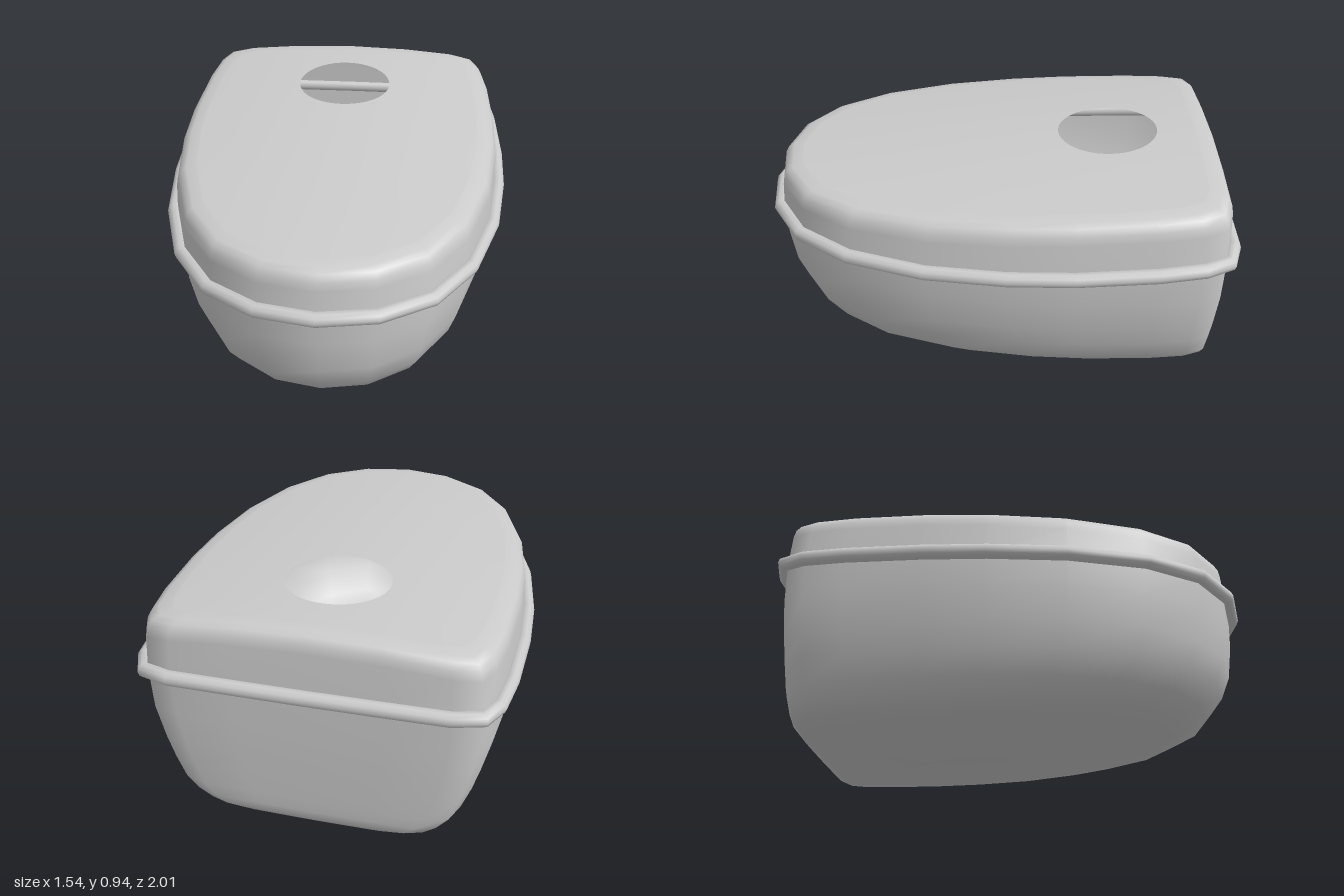
import * as THREE from 'three';

// Half of the plan outline [x, z], from the rounded nose to the flat back
const HALF = [[0, 0.965], [0.225, 0.925], [0.425, 0.8], [0.575, 0.58], [0.675, 0.265], [0.717, -0.06],
  [0.725, -0.33], [0.71, -0.65], [0.685, -0.83], [0.645, -0.92], [0.54, -0.95], [0.3, -0.953], [0, -0.955]];
const OUTLINE = [...HALF, ...HALF.slice(1, -1).reverse().map(([x, z]) => [-x, z])];

// Height of the seam and of the gently crowned, sloping top
const seamY = (z) => 0.63 + 0.028 * (z - 0.4) ** 2;
const topY = (x, z) => 0.897 - 0.06 * z - 0.017 * z * z - 0.1 * x * x;

// Outline pushed outwards along its normals
function offsetOutline(d) {
  const n = OUTLINE.length;
  return OUTLINE.map(([x, z], i) => {
    const [ax, az] = OUTLINE[(i + n - 1) % n], [bx, bz] = OUTLINE[(i + 1) % n];
    const tx = bx - ax, tz = bz - az, l = Math.hypot(tx, tz);
    return [x - (tz / l) * d, z + (tx / l) * d];
  });
}

// Smooth skin through closed rings of points
function loft(rings, closed = false) {
  const n = rings[0].length, m = rings.length, index = [];
  for (let i = 0; i < (closed ? m : m - 1); i++) {
    for (let j = 0; j < n; j++) {
      const k = (j + 1) % n, u = (i + 1) % m;
      const a = i * n + j, b = i * n + k, c = u * n + k, d = u * n + j;
      index.push(a, b, c, a, c, d);
    }
  }
  const geo = new THREE.BufferGeometry().setFromPoints(rings.flat());
  geo.setIndex(index);
  geo.computeVertexNormals();
  return geo;
}

export function createModel() {
  const group = new THREE.Group();
  const material = new THREE.MeshStandardMaterial({ color: 0xcccccc, side: THREE.DoubleSide });
  const add = (name, geo) => {
    const mesh = new THREE.Mesh(geo, material);
    mesh.name = name;
    group.add(mesh);
  };
  const V = (x, y, z) => new THREE.Vector3(x, y, z);

  // Tub: levels of [height, half width, front z, back z]
  const levels = [[0, 0.002, -0.4, -0.402], [0.008, 0.25, 0.1, -0.86], [0.02, 0.36, 0.25, -0.905],
    [0.05, 0.5, 0.5, -0.925], [0.09, 0.56, 0.7, -0.932], [0.15, 0.615, 0.82, -0.937],
    [0.25, 0.655, 0.9, -0.942], [0.35, 0.685, 0.94, -0.947], [0.5, 0.718, 0.96, -0.953],
    [null, 0.725, 0.965, -0.955]];
  add('tub', loft(levels.map(([y, w, front, back]) => OUTLINE.map(([x, z]) => {
    const pz = back + (front - back) * (z + 0.955) / 1.92;
    return V(x * w / 0.725, y ?? seamY(z), pz);
  }))));

  // Lid wall with rounded shoulder: [inset, drop below the top]
  const shoulder = [[0, null], [0.008, 0.075], [0.015, 0.04], [0.03, 0.014], [0.055, 0.003], [0.1, 0]];
  const lidRings = shoulder.map(([inset, drop]) => OUTLINE.map(([x, z]) => {
    const px = x * (1 - inset / 0.725), pz = z * (1 - inset / 0.96);
    return V(px, drop === null ? seamY(z) : topY(px, pz) - drop, pz);
  }));
  add('lidWall', loft(lidRings));

  // Lid top, running in to the round opening
  const edge = lidRings.at(-1), outer = [];
  edge.forEach((p, i) => {
    for (let s = 0; s < 4; s++) outer.push(p.clone().lerp(edge[(i + 1) % edge.length], s / 4));
  });
  const holeZ = -0.48, holeR = 0.215;
  const capRings = [0, 0.3, 0.6, 0.85, 1].map((t) => outer.map((p) => {
    if (t === 0) return p;
    const a = Math.atan2(p.z - holeZ, p.x);
    const x = THREE.MathUtils.lerp(p.x, holeR * Math.cos(a), t);
    const z = THREE.MathUtils.lerp(p.z, holeZ + holeR * Math.sin(a), t);
    return V(x, topY(x, z), z);
  }));
  add('lidTop', loft(capRings));

  // Round bead along the seam
  const beadRings = [];
  for (let k = 0; k < 10; k++) {
    const a = k / 10 * Math.PI * 2;
    beadRings.push(offsetOutline(0.012 + 0.031 * Math.cos(a))
      .map(([x, z], i) => V(x, seamY(OUTLINE[i][1]) + 0.031 * Math.sin(a), z)));
  }
  add('seamBead', loft(beadRings, true));

  return group;
}
